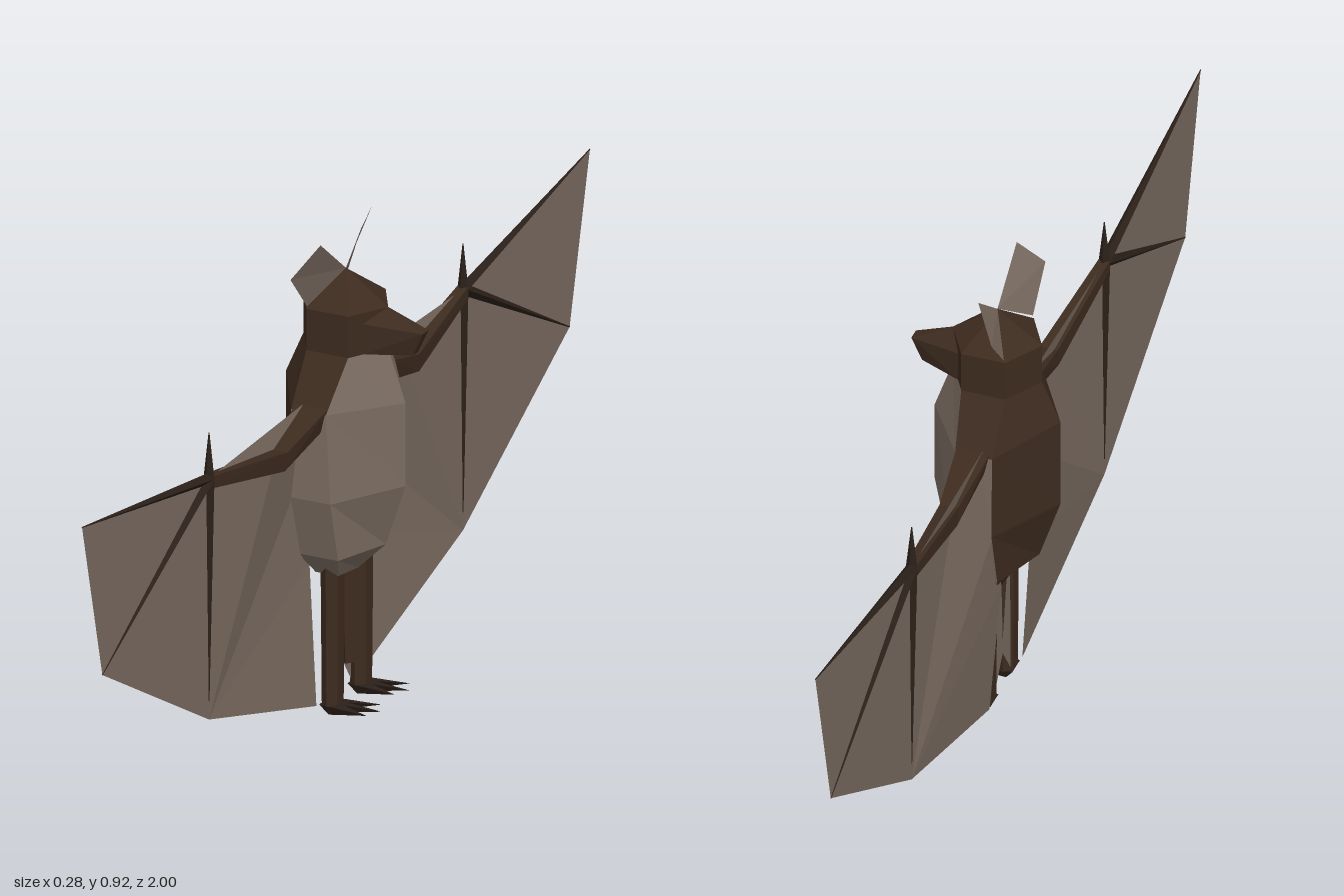
import * as THREE from 'three';
import { ConvexGeometry } from 'three/addons/geometries/ConvexGeometry.js';

const V = (x, y, z) => new THREE.Vector3(x, y, z);

export function createModel() {
  const model = new THREE.Group();
  const material = (name, color, side = THREE.FrontSide) => {
    const m = new THREE.MeshStandardMaterial({ color, flatShading: true, side });
    m.name = name;
    return m;
  };
  const fur = material('darkFur', 0x3d2b1f);
  const skin = material('paleSkin', 0x7b6c61, THREE.DoubleSide);
  const bone = material('wingBone', 0x2b2019);

  const add = (name, geometry, mat, parent = model) => {
    const mesh = new THREE.Mesh(geometry, mat);
    mesh.name = name;
    parent.add(mesh);
    return mesh;
  };
  // Flat-faced surface from a list of triangle corners
  const surface = (points) => {
    const g = new THREE.BufferGeometry().setFromPoints(points);
    g.computeVertexNormals();
    return g;
  };
  const hull = (points) => new ConvexGeometry(points);
  // Tapered four-sided rod between two points
  const rod = (name, a, b, ra, rb, mat, parent) => {
    const d = b.clone().sub(a);
    const mesh = add(name, new THREE.CylinderGeometry(rb, ra, d.length(), 4), mat, parent);
    mesh.position.copy(a).add(b).multiplyScalar(0.5);
    mesh.quaternion.setFromUnitVectors(V(0, 1, 0), d.normalize());
    return mesh;
  };

  // Body: six-sided rings running from the hips up to the neck
  const ring = (yFront, yBack, back, x0, x1, front, z) => {
    const y = (yFront + yBack) / 2;
    return [V(front, yFront, 0), V(x1, y, z), V(x0, y, z),
      V(back, yBack, 0), V(x0, y, -z), V(x1, y, -z)];
  };
  const rings = [
    ring(0.265, 0.28, -0.055, -0.045, 0.0, 0.005, 0.07),
    ring(0.32, 0.32, -0.10, -0.06, 0.02, 0.06, 0.11),
    ring(0.44, 0.44, -0.14, -0.06, 0.02, 0.10, 0.14),
    ring(0.60, 0.62, -0.14, -0.06, 0.01, 0.10, 0.138),
    ring(0.70, 0.70, -0.105, -0.062, 0.022, 0.065, 0.074),
  ];
  const back = [], belly = [];
  for (let r = 0; r < rings.length - 1; r++) {
    for (let k = 0; k < 6; k++) {
      const n = (k + 1) % 6, lo = rings[r], hi = rings[r + 1];
      const isShoulder = r === 3 && (k === 1 || k === 4);
      const target = k === 2 || k === 3 || isShoulder ? back : belly;
      target.push(lo[k], hi[k], hi[n], lo[k], hi[n], lo[n]);
    }
  }
  for (let k = 1; k < 5; k++) back.push(rings[0][0], rings[0][k], rings[0][k + 1]);
  add('back', surface(back), fur);
  add('belly', surface(belly), skin);

  // Head: six-sided prism with a pointed crown
  const jaw = rings[4];
  const brow = jaw.map((p) => V(p.x, 0.78, p.z));
  add('head', hull([...jaw, ...brow, V(-0.02, 0.84, 0)]), fur);
  add('snout', hull([
    V(0.06, 0.782, 0), V(0.03, 0.76, 0.05), V(0.03, 0.76, -0.05),
    V(0.04, 0.70, 0.045), V(0.04, 0.70, -0.045),
    V(0.14, 0.745, 0.012), V(0.14, 0.745, -0.012), V(0.12, 0.70, 0.01), V(0.12, 0.70, -0.01),
  ]), fur);

  // Tail
  rod('tail', V(-0.018, 0.30, 0), V(-0.014, 0.08, 0), 0.022, 0.014, fur);

  for (const s of [1, -1]) {
    const P = (x, y, z) => V(x, y, z * s);
    const side = s > 0 ? 'Left' : 'Right';

    // Ear
    const e = [P(-0.02, 0.84, 0), P(-0.02, 0.92, 0.10), P(-0.06, 0.86, 0.14), P(-0.06, 0.785, 0.075)];
    add('ear' + side, surface([e[0], e[1], e[2], e[0], e[2], e[3]]), skin);

    // Wing membrane, fanned between arm, fingers, body and ankle
    const wing = new THREE.Group();
    wing.name = 'wing' + side;
    model.add(wing);
    const shoulder = P(-0.04, 0.62, 0.13), elbow = P(-0.03, 0.56, 0.26);
    const wrist = P(-0.04, 0.612, 0.50), tip = P(-0.04, 0.70, 1.0);
    const outer = P(-0.04, 0.385, 0.92), lower = P(-0.04, 0.145, 0.50);
    const flank = P(-0.06, 0.44, 0.13), hip = P(-0.055, 0.29, 0.075);
    const ankle = P(-0.036, 0.02, 0.085);
    add('membrane', surface([
      wrist, outer, tip, wrist, lower, outer, elbow, lower, wrist,
      shoulder, elbow, wrist, shoulder, flank, elbow, flank, lower, elbow,
      flank, hip, lower, hip, ankle, lower,
    ]), skin, wing);

    // Arm and finger bones
    add('upperArm', hull([
      P(-0.055, 0.62, 0.125), P(0.01, 0.62, 0.125), P(-0.045, 0.575, 0.14), P(0.0, 0.575, 0.14),
      P(-0.04, 0.58, 0.26), P(-0.005, 0.58, 0.26), P(-0.04, 0.545, 0.265), P(-0.008, 0.545, 0.265),
    ]), fur, wing);
    add('forearm', hull([
      P(-0.04, 0.58, 0.255), P(-0.005, 0.58, 0.255), P(-0.04, 0.545, 0.265), P(-0.008, 0.545, 0.265),
      P(-0.05, 0.618, 0.50), P(-0.03, 0.618, 0.50), P(-0.05, 0.595, 0.50), P(-0.03, 0.595, 0.50),
    ]), fur, wing);
    rod('leadingFinger', wrist, tip, 0.011, 0.001, bone, wing);
    rod('outerFinger', wrist, outer, 0.011, 0.001, bone, wing);
    rod('lowerFinger', wrist, P(-0.04, 0.18, 0.50), 0.011, 0.001, bone, wing);
    rod('thumb', wrist, P(-0.04, 0.70, 0.50), 0.011, 0.001, bone, wing);

    // Leg
    const leg = new THREE.Group();
    leg.name = 'leg' + side;
    model.add(leg);
    const shin = add('shin', new THREE.CylinderGeometry(0.02, 0.018, 0.27, 6), fur, leg);
    shin.position.set(-0.018, 0.155, 0.056 * s);
    shin.scale.z = 1.4;

    // Foot with three pointed toes
    for (const spread of [-0.03, 0, 0.03]) {
      const z = 0.056 + spread * 0.4;
      add('toe', hull([
        P(-0.035, 0.02, z - 0.008), P(-0.035, 0.02, z + 0.008), P(-0.02, 0, z),
        P(0.0, 0.022, z - 0.008), P(0.0, 0.022, z + 0.008),
        P(spread ? 0.065 : 0.08, 0.02, 0.056 + spread),
      ]), bone, leg);
    }

    // Web between leg and tail
    const a = P(-0.03, 0.28, 0), b = P(-0.03, 0.085, 0), c = P(-0.03, 0.02, 0.045), d = P(-0.03, 0.28, 0.045);
    add('tailWeb' + side, surface([a, b, c, a, c, d]), skin);
  }
  return model;
}
